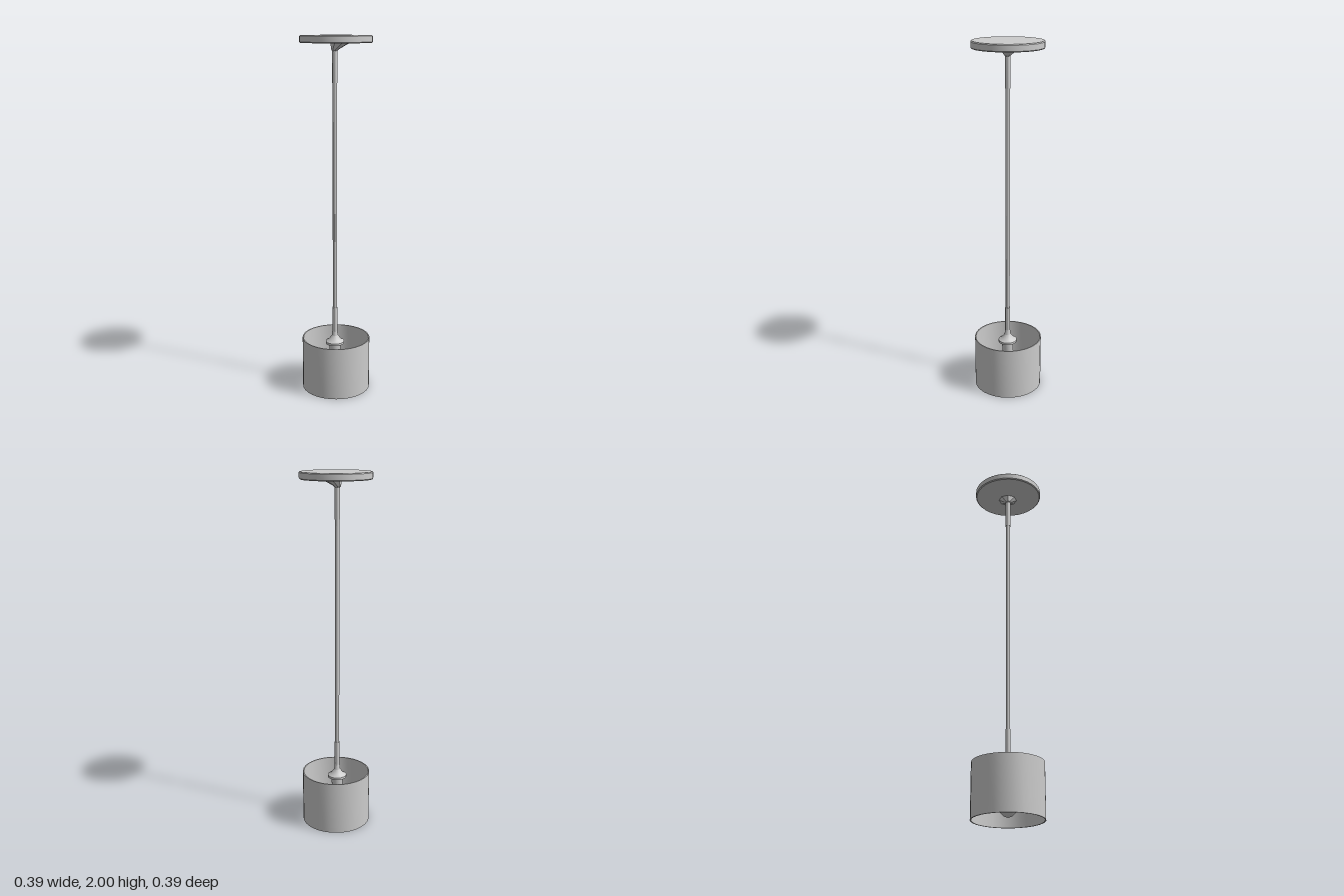
import * as THREE from 'three';
import { toCreasedNormals } from 'three/addons/utils/BufferGeometryUtils.js';

const material = new THREE.MeshStandardMaterial({ color: 0xcccccc, side: THREE.DoubleSide });
const AXIS_X = -0.005, AXIS_Z = 0.004;

// Named surface of revolution from [radius, height] points
function turned(name, profile, sides, x = AXIS_X, z = AXIS_Z) {
  const points = profile.map(([r, y]) => new THREE.Vector2(r, y));
  const geometry = toCreasedNormals(new THREE.LatheGeometry(points, sides), 0.6);
  const mesh = new THREE.Mesh(geometry, material);
  mesh.name = name;
  mesh.position.set(x, 0, z);
  return mesh;
}

export function createModel() {
  const lamp = new THREE.Group();
  lamp.name = 'pendantLamp';

  // Ceiling plate
  lamp.add(turned('canopy', [[0, 1.96], [0.19, 1.96], [0.195, 1.965], [0.195, 1.995], [0.19, 2], [0, 2]], 32, 0, 0));

  // Flared boss under the plate, leaning off the axis towards its top
  const boss = turned('canopyBoss', [[0.012, 1.915], [0.02, 1.925], [0.055, 1.962]], 8);
  const p = boss.geometry.attributes.position;
  for (let i = 0; i < p.count; i++) {
    const t = Math.max(0, (p.getY(i) - 1.925) / 0.037);
    p.setXYZ(i, p.getX(i) + 0.022 * t, p.getY(i), p.getZ(i) - 0.022 * t);
  }
  boss.geometry.computeVertexNormals();
  lamp.add(boss);

  // Rod with a sleeve at each end
  lamp.add(turned('rod', [[0.012, 0.3], [0.012, 1.93]], 12));
  for (const [name, low, high] of [['upperSleeve', 1.75, 1.93], ['lowerSleeve', 0.33, 0.48]]) {
    lamp.add(turned(name, [[0.011, low], [0.0145, low], [0.0145, high], [0.011, high]], 12));
  }

  // Flared socket cap and holder
  lamp.add(turned('socket', [
    [0.013, 0.35], [0.018, 0.31], [0.036, 0.285], [0.054, 0.275],
    [0.054, 0.262], [0.034, 0.255], [0.03, 0.2], [0, 0.2],
  ].reverse(), 16));

  // Bulb
  lamp.add(turned('bulb', [
    [0, 0.012], [0.025, 0.022], [0.05, 0.048], [0.065, 0.085],
    [0.066, 0.115], [0.055, 0.15], [0.036, 0.185], [0.028, 0.21],
  ], 16));

  // Thin drum shade, open at both ends
  lamp.add(turned('shade', [[0.187, 0], [0.193, 0], [0.193, 0.3], [0.187, 0.3], [0.187, 0]], 32, 0, 0));

  return lamp;
}
